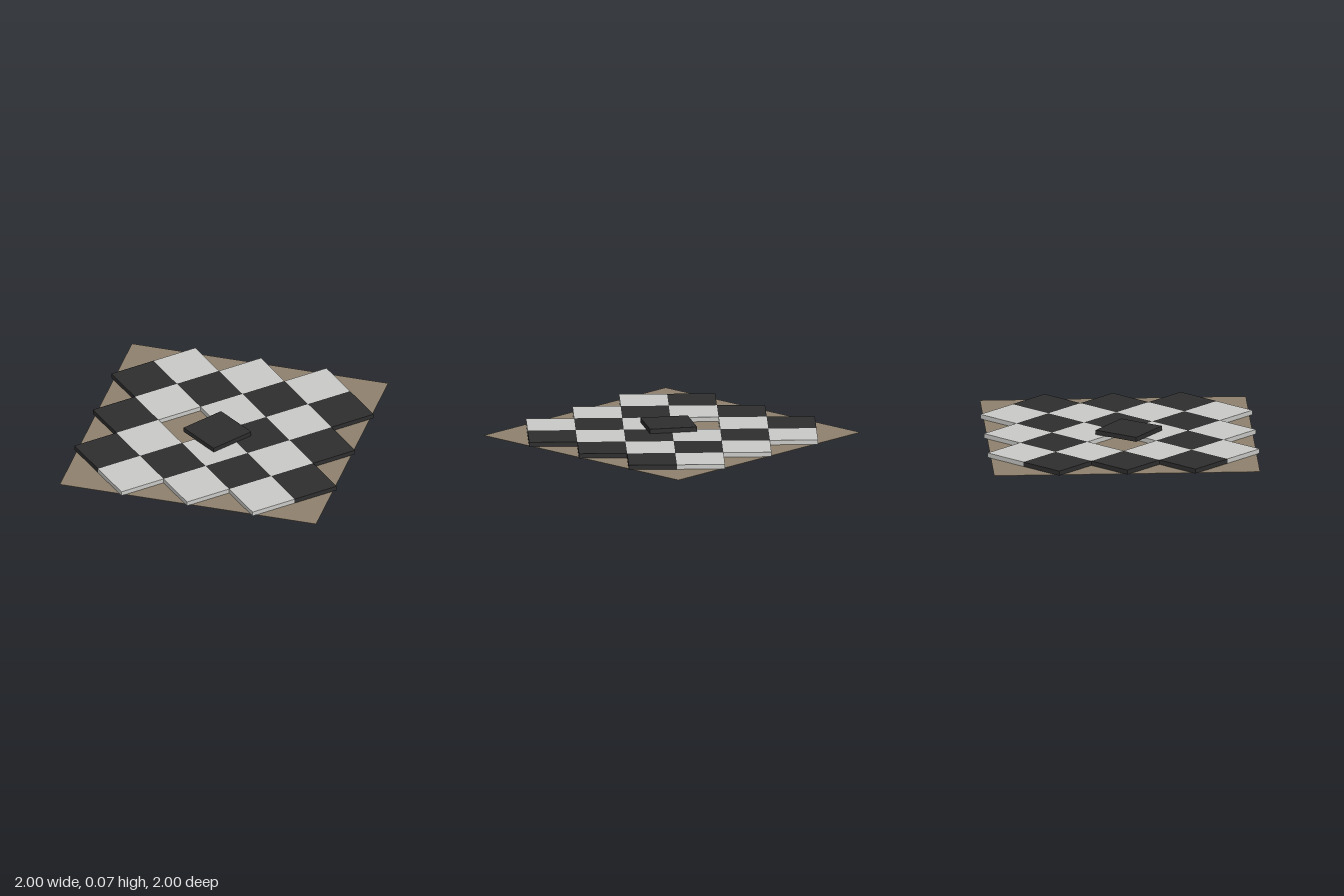
import * as THREE from 'three';

export function createModel() {
  const group = new THREE.Group();
  const mat = (name, color) => Object.assign(new THREE.MeshStandardMaterial({ color }), { name });
  const mortar = mat('mortar brown', 0x8f826f);
  const light = mat('light stone', 0xcbcbc9);
  const dark = mat('dark stone', 0x2e2e2e);

  const baseTop = 0.003, thick = 0.034;
  const side = 0.5 / Math.SQRT2;
  const tileGeometry = new THREE.BoxGeometry(side, thick, side);

  function addTile(name, material, x, z, angle = Math.PI / 4, level = 0) {
    const tile = new THREE.Mesh(tileGeometry, material);
    tile.name = name;
    tile.position.set(x, baseTop + thick * (level + 0.5), z);
    tile.rotation.y = angle;
    group.add(tile);
  }

  // Thin bed under the tiles
  const bed = new THREE.Mesh(new THREE.BoxGeometry(1.954, baseTop, 1.954), mortar);
  bed.name = 'mortarBed';
  bed.position.y = baseTop / 2;
  group.add(bed);

  // Light diamonds
  for (const x of [-0.5, 0, 0.5])
    for (const z of [-0.75, -0.25, 0.25, 0.75]) addTile('lightTile', light, x, z);

  // Dark diamonds, with one gap where a tile was lifted out
  for (const x of [-0.75, -0.25, 0.25, 0.75])
    for (const z of [-0.5, 0, 0.5])
      if (x !== -0.25 || z !== 0) addTile('darkTile', dark, x, z);

  // Lifted tile lying on top of the floor
  addTile('looseTile', dark, -0.033, 0.063, THREE.MathUtils.degToRad(-35.5), 1.06);

  return group;
}
